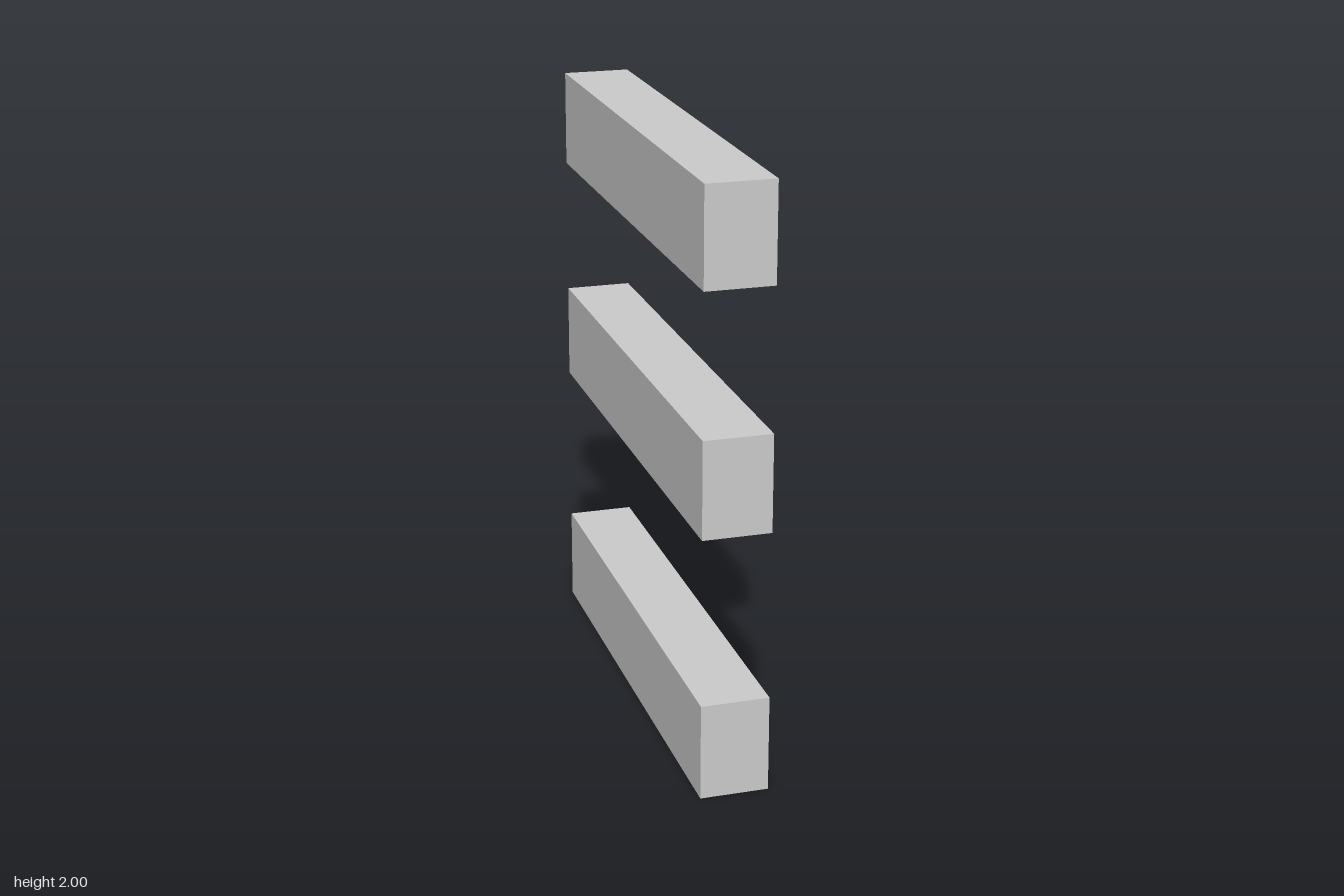
import * as THREE from 'three';

const WIDTH = 0.226, HEIGHT = 0.324, LENGTH = 1.648;

export function createModel() {
  const model = new THREE.Group();
  model.name = 'beamStack';
  const material = new THREE.MeshStandardMaterial({ color: 0xcccccc, flatShading: true });
  const geometry = new THREE.BoxGeometry(WIDTH, HEIGHT, LENGTH);

  // Three parallel beams, slightly turned about the vertical axis
  const beams = [
    ['lowerBeam', HEIGHT / 2],
    ['middleBeam', 1.048],
    ['upperBeam', 2 - HEIGHT / 2],
  ];
  for (const [name, y] of beams) {
    const beam = new THREE.Mesh(geometry, material);
    beam.name = name;
    beam.position.y = y;
    beam.rotation.y = 0.045;
    model.add(beam);
  }
  return model;
}
